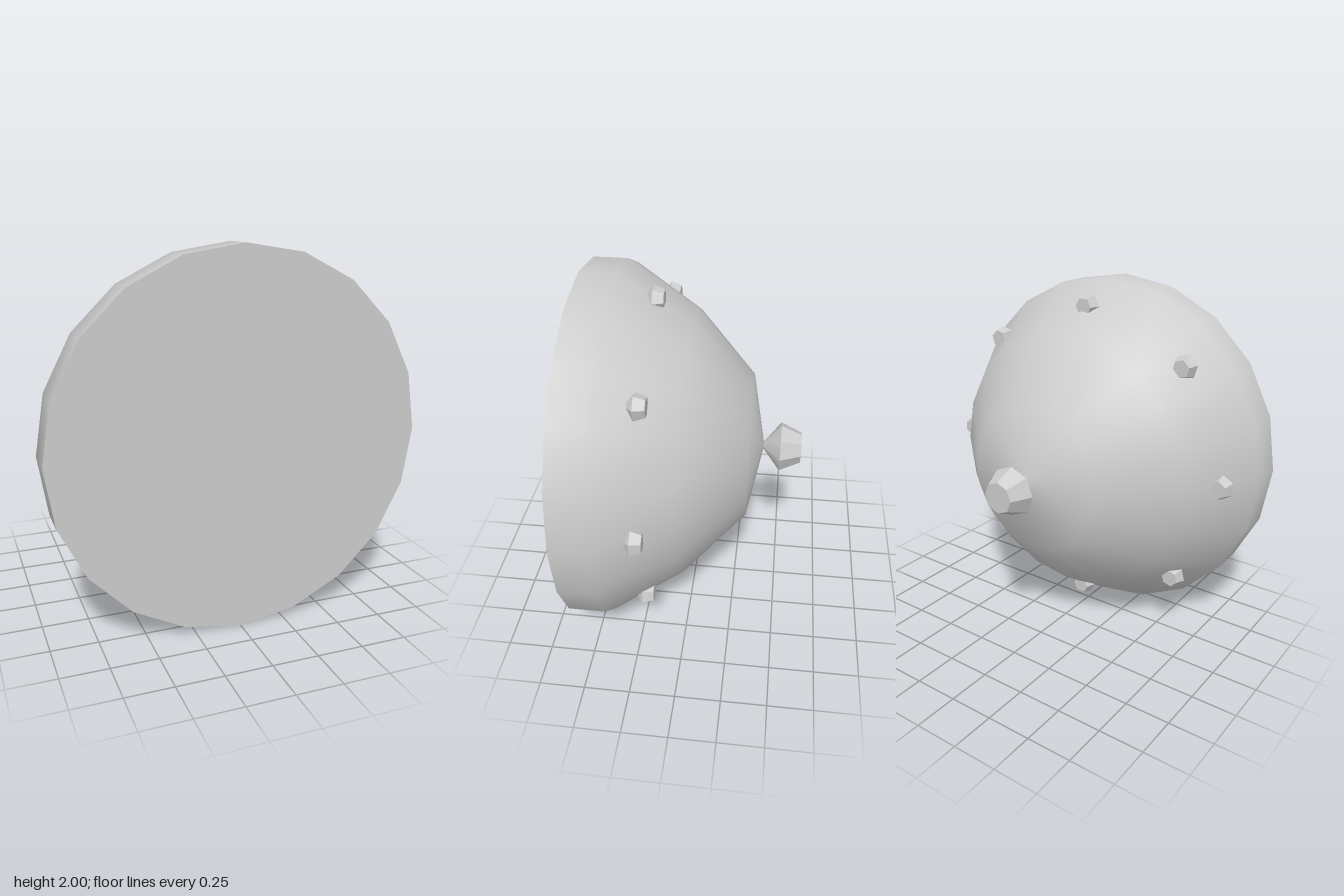
import * as THREE from 'three';
import { toCreasedNormals } from 'three/addons/utils/BufferGeometryUtils.js';

const grey = new THREE.MeshStandardMaterial({ color: 0xcccccc });
grey.name = 'light grey';

// Revolve [radius, z] pairs, ordered front to back, around the z axis
function revolve(profile, sides) {
  const points = profile.map(([r, z]) => new THREE.Vector2(r, -z));
  return new THREE.LatheGeometry(points, sides).rotateX(-Math.PI / 2);
}

// Cut stone: pointed front buried in the dome, girdle, then a flat table at the back
function gemGeometry(sides, girdle, table, zTip, zGirdle, zTable) {
  const geometry = revolve([[0, zTip], [girdle, zGirdle], [table, zTable], [0, zTable]], sides);
  return toCreasedNormals(geometry, Math.PI / 6);
}

export function createModel() {
  const model = new THREE.Group();
  model.name = 'studdedDome';

  function add(name, geometry, parent = model) {
    const mesh = new THREE.Mesh(geometry, grey);
    mesh.name = name;
    parent.add(mesh);
    return mesh;
  }

  // Smooth dome with a short straight rim
  const dome = [[1, 0.595], [1, 0.4], [0.75, 0.015], [0.4, -0.31], [0, -0.39]];
  add('dome', revolve(dome, 20)).position.y = 1;

  // Flat front face
  add('frontDisc', new THREE.CircleGeometry(1, 20)).position.set(0, 1, 0.595);

  // Large stone on the apex
  add('apexGem', gemGeometry(8, 0.138, 0.086, -0.37, -0.48, -0.595)).position.y = 1;

  // Ring of eight small stones
  const ring = new THREE.Group();
  ring.name = 'gemRing';
  ring.position.y = 1;
  model.add(ring);
  const stud = gemGeometry(6, 0.07, 0.05, 0.27, 0.217, 0.16);
  for (let i = 0; i < 8; i++) {
    const angle = (i * Math.PI) / 4;
    const gem = add('smallGem', stud, ring);
    gem.position.set(0.87 * Math.cos(angle), 0.87 * Math.sin(angle), 0);
    gem.rotation.z = angle;
  }

  return model;
}
